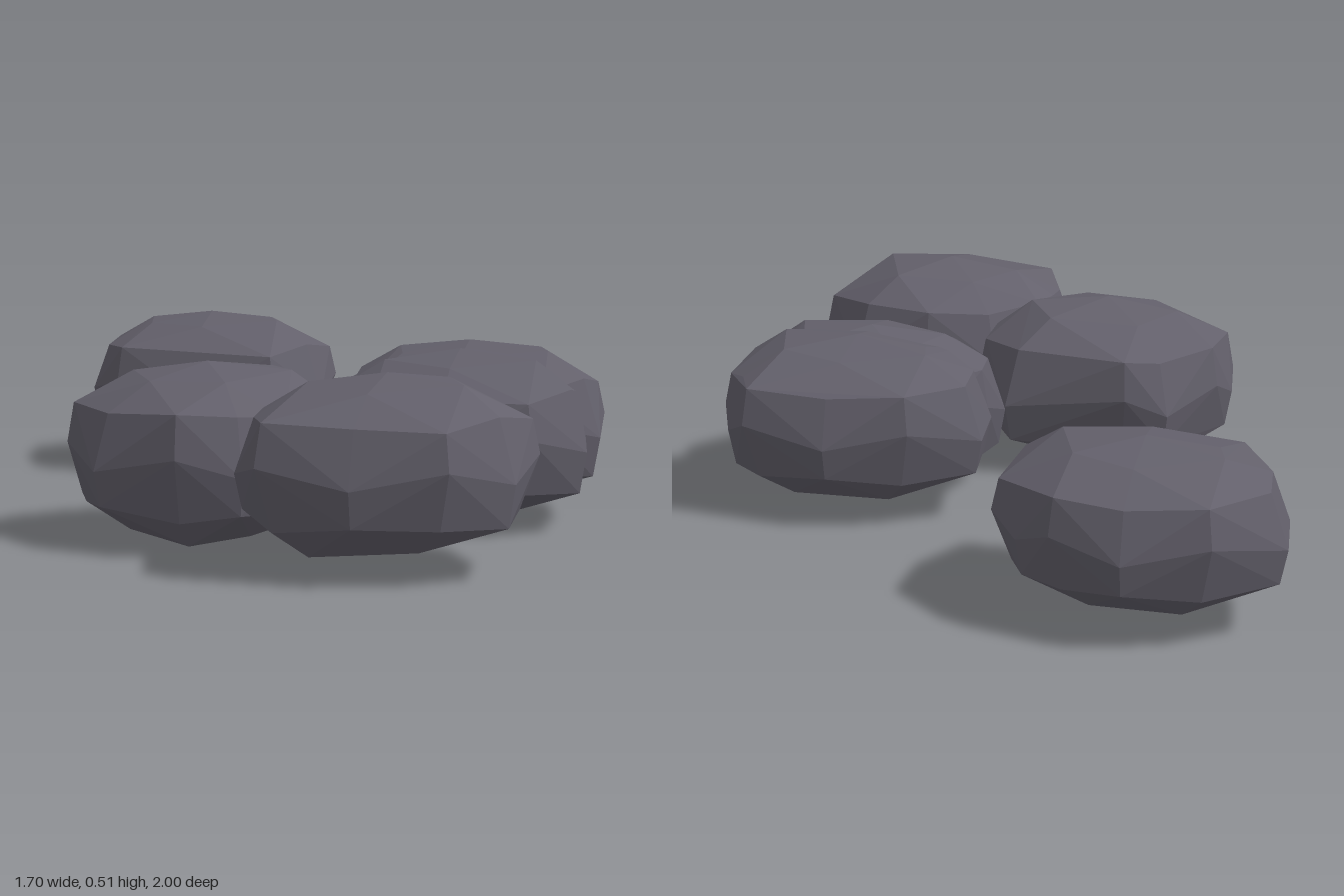
import * as THREE from 'three';
import { ConvexGeometry } from 'three/addons/geometries/ConvexGeometry.js';

// Each rock: widest outline seen from above as x, z pairs, plus bottom and top heights
const ROCKS = [
  { name: 'backRock', low: 0.05, high: 0.49, outline: [
    -0.85, -0.8, -0.68, -0.95, -0.46, -1, -0.27, -0.95, -0.17, -0.88, -0.09, -0.8,
    -0.09, -0.6, -0.2, -0.43, -0.45, -0.41, -0.7, -0.44, -0.83, -0.6] },
  { name: 'middleRock', low: 0, high: 0.49, outline: [
    -0.53, 0.45, -0.5, 0.35, -0.38, 0.18, -0.26, 0.15, 0.1, 0.17, 0.22, 0.35,
    0.23, 0.42, 0.12, 0.63, 0.02, 0.73, -0.15, 0.77, -0.39, 0.71, -0.52, 0.54] },
  { name: 'frontRock', low: 0.04, high: 0.51, outline: [
    0.02, 0.7, 0.08, 0.6, 0.2, 0.46, 0.4, 0.42, 0.63, 0.44, 0.77, 0.6,
    0.74, 0.8, 0.6, 0.95, 0.36, 1, 0.12, 0.99, 0.02, 0.81] },
  { name: 'leftRockRear', low: 0.04, high: 0.5, outline: [
    0.08, -0.2, 0.26, -0.33, 0.49, -0.38, 0.73, -0.35, 0.8, -0.27, 0.84, -0.17,
    0.85, 0, 0.72, 0.15, 0.46, 0.2, 0.2, 0.15, 0.1, 0] },
  { name: 'leftRockFront', low: 0.01, high: 0.49, outline: [
    0.09, 0.13, 0.11, 0, 0.25, -0.2, 0.5, -0.27, 0.75, -0.2, 0.8, -0.05,
    0.83, 0.13, 0.7, 0.28, 0.46, 0.34, 0.25, 0.26] },
];

// Faceted hull: girdle, shoulder and cap rings, closed by a peak and a foot
function rockGeometry({ outline, low, high }) {
  const ring = [];
  for (let i = 0; i < outline.length; i += 2) ring.push(new THREE.Vector2(outline[i], outline[i + 1]));
  const box = new THREE.Box2().setFromPoints(ring);
  const centre = box.getCenter(new THREE.Vector2());
  const mid = (low + high) / 2;
  const half = (high - low) / 2;
  const points = [];
  const add = (p, scale, level) => points.push(new THREE.Vector3(
    centre.x + (p.x - centre.x) * scale,
    mid + half * level,
    centre.y + (p.y - centre.y) * scale));

  ring.forEach((p, i) => {
    const side = i % 2 ? 1 : -1;
    const wobble = 0.05 * Math.sin(i * 2.3);
    add(p, 1, side * 0.1);                          // girdle
    add(p, 0.95, side * (0.53 + wobble));           // wide shoulders
    add(p, 0.87, -side * (0.56 + wobble));          // narrow shoulders
    add(p, 0.55 + wobble, -side * (0.87 + wobble)); // caps
  });
  add(centre, 1, 1);                                // peak
  add(centre, 1, -1);                               // foot
  return new ConvexGeometry(points);
}

export function createModel() {
  const stone = new THREE.MeshStandardMaterial({ color: 0x63606b });
  stone.name = 'darkStone';

  const group = new THREE.Group();
  group.name = 'rockCluster';
  for (const rock of ROCKS) {
    const mesh = new THREE.Mesh(rockGeometry(rock), stone);
    mesh.name = rock.name;
    group.add(mesh);
  }
  return group;
}
